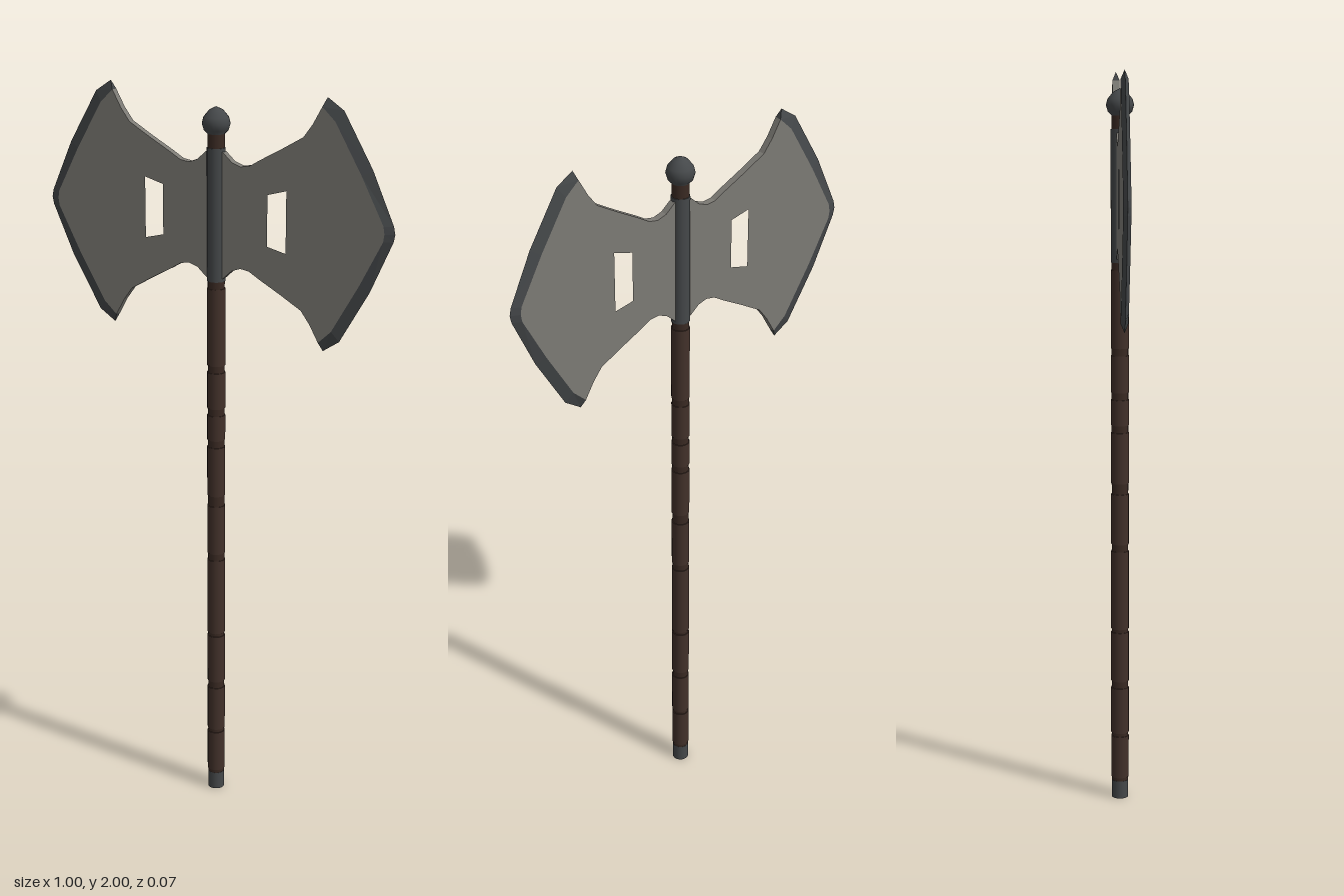
import * as THREE from 'three';

const steel = new THREE.MeshStandardMaterial({ name: 'grey steel', color: 0x7d7b75 });
const iron = new THREE.MeshStandardMaterial({ name: 'dark iron', color: 0x45484a });
const leather = new THREE.MeshStandardMaterial({ name: 'brown leather', color: 0x42312a });
const wood = new THREE.MeshStandardMaterial({ name: 'dark wood', color: 0x3a2a23 });

const MID = 1.675; // height of the blade's axis of symmetry
const HALF = 0.01; // half thickness of the blade

// Upper half of a contour as [x, height above MID], mirrored to a full top-to-bottom list
const mirrored = (upper) => [
  ...upper.map(([x, y]) => [x, MID + y]),
  ...upper.slice().reverse().filter(([, y]) => y > 0).map(([x, y]) => [x, MID - y]),
];

const neck = [[0, 0.175], [0.025, 0.165], [0.05, 0.142], [0.075, 0.133], [0.1, 0.137], [0.13, 0.155], [0.19, 0.188], [0.25, 0.223], [0.275, 0.257]];
const innerEdge = [[0.3, 0.302], [0.336, 0.268], [0.41, 0.14], [0.472, 0.02], [0.475, 0]];
const outerEdge = [[0.31, 0.325], [0.355, 0.295], [0.436, 0.155], [0.496, 0.02], [0.5, 0]];

function bladeBody() {
  const shape = new THREE.Shape(mirrored([...neck, ...innerEdge]).map(([x, y]) => new THREE.Vector2(x, y)));
  const window = [[0.152, 0.068], [0.205, 0.083], [0.205, -0.079], [0.152, -0.066]];
  shape.holes.push(new THREE.Path(window.map(([x, y]) => new THREE.Vector2(x, MID + y))));
  const geo = new THREE.ExtrudeGeometry(shape, { depth: 2 * HALF, bevelEnabled: false });
  return geo.translate(0, 0, -HALF);
}

// Wedge from the blade's flat faces to a sharp line
function cuttingEdge() {
  const a = mirrored(innerEdge), b = mirrored(outerEdge), pos = [];
  const front = ([x, y]) => [x, y, HALF], back = ([x, y]) => [x, y, -HALF], tip = ([x, y]) => [x, y, 0];
  const tri = (...points) => points.forEach((p) => pos.push(...p));
  for (let i = 0; i < a.length - 1; i++) {
    const c = tip(b[i]), d = tip(b[i + 1]);
    tri(front(a[i]), front(a[i + 1]), d);
    tri(front(a[i]), d, c);
    tri(back(a[i]), d, back(a[i + 1]));
    tri(back(a[i]), c, d);
  }
  const n = a.length - 1;
  tri(front(a[0]), tip(b[0]), back(a[0]));
  tri(front(a[n]), back(a[n]), tip(b[n]));
  const geo = new THREE.BufferGeometry();
  geo.setAttribute('position', new THREE.Float32BufferAttribute(pos, 3));
  geo.computeVertexNormals();
  return geo;
}

export function createModel() {
  const root = new THREE.Group();
  root.name = 'doubleAxe';
  const add = (parent, name, geo, mat) => {
    const mesh = new THREE.Mesh(geo, mat);
    mesh.name = name;
    parent.add(mesh);
  };
  const rod = (name, y0, y1, r, mat) =>
    add(root, name, new THREE.CylinderGeometry(r, r, y1 - y0, 16).translate(0, (y0 + y1) / 2, 0), mat);

  // Handle with slightly raised wraps
  rod('shaft', 0.02, 1.89, 0.0225, wood);
  rod('buttCap', 0, 0.05, 0.023, iron);
  const wraps = [[0.06, 0.18], [0.19, 0.32], [0.34, 0.48], [0.49, 0.71], [0.73, 0.87], [0.9, 1.04], [1.06, 1.13], [1.15, 1.25], [1.27, 1.48]];
  wraps.forEach(([y0, y1]) => rod('gripWrap', y0, y1, 0.0245, leather));

  // Socket and pointed knob
  rod('socket', 1.5, 1.85, 0.0245, iron);
  const knob = [[0, 1.868], [0.021, 1.87], [0.022, 1.885], [0.032, 1.895], [0.037, 1.912], [0.033, 1.928], [0.018, 1.946], [0, 1.955]];
  add(root, 'knob', new THREE.LatheGeometry(knob.map(([r, y]) => new THREE.Vector2(r, y)), 20), iron);

  // Two identical blades, one turned half a circle
  for (const [name, turn] of [['leftBlade', 0], ['rightBlade', Math.PI]]) {
    const blade = new THREE.Group();
    blade.name = name;
    blade.rotation.y = turn;
    add(blade, 'bladeBody', bladeBody(), steel);
    add(blade, 'cuttingEdge', cuttingEdge(), iron);
    root.add(blade);
  }
  return root;
}
